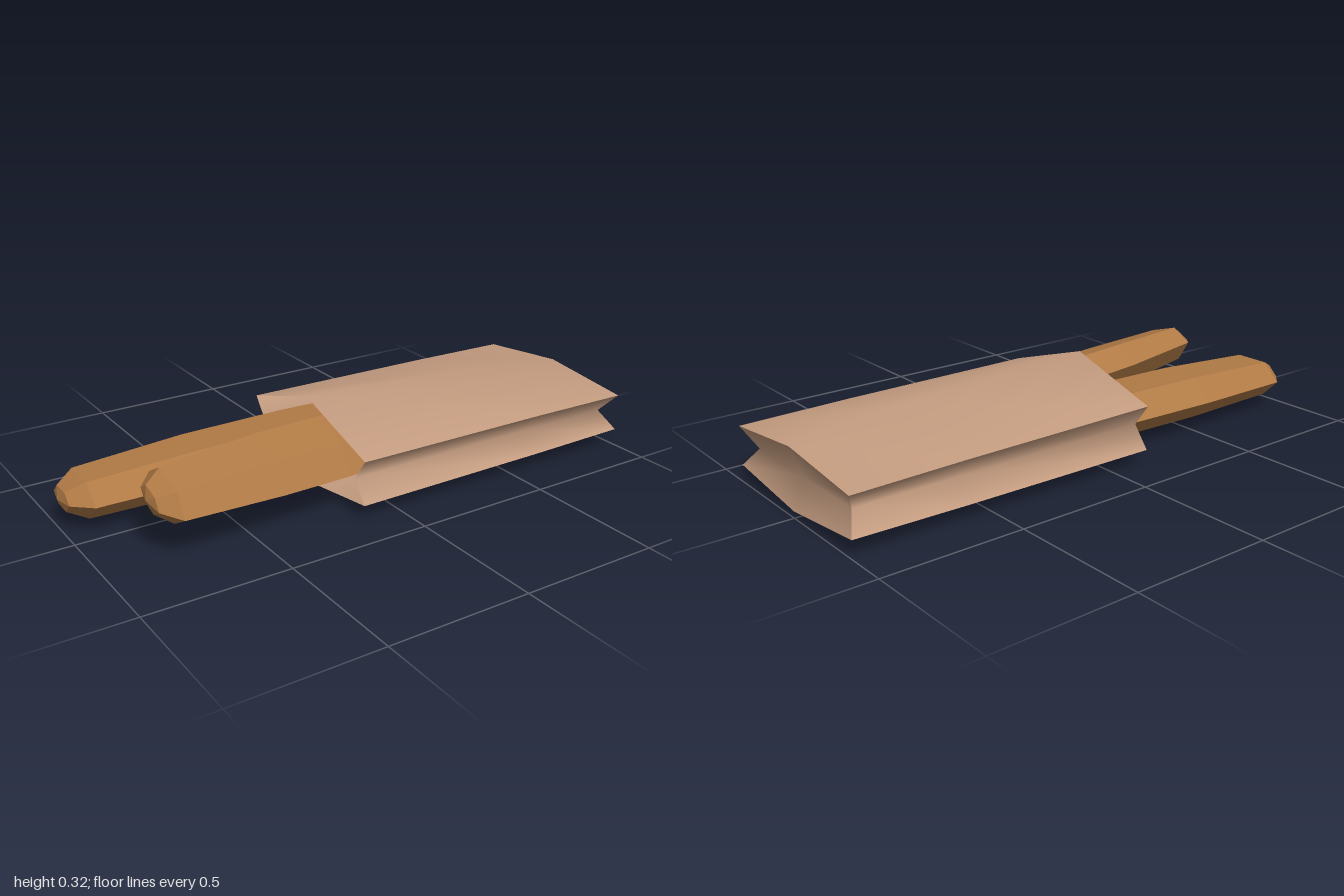
import * as THREE from 'three';

// Surface through rows of [x, y, z] points; front is rowDirection x columnDirection
function gridSurface(rows) {
  const cols = rows[0].length;
  const index = [];
  for (let i = 0; i < rows.length - 1; i++) {
    for (let j = 0; j < cols - 1; j++) {
      const a = i * cols + j, b = a + cols;
      index.push(a, b, a + 1, b, b + 1, a + 1);
    }
  }
  const geo = new THREE.BufferGeometry();
  geo.setAttribute('position', new THREE.Float32BufferAttribute(rows.flat(2), 3));
  geo.setIndex(index);
  geo.computeVertexNormals();
  return geo;
}

// Six-sided stick: stations [x, centreY, centreZ, scale] run from the inner end to the tip
function stickGeometry(halfSection, stations) {
  const section = [...halfSection, ...halfSection.map(([z, y]) => [-z, -y])];
  section.push(section[0]);
  return gridSurface(stations.map(([x, cy, cz, s]) =>
    section.map(([z, y]) => [x, cy + y * s, cz + z * s])));
}

export function createModel() {
  const model = new THREE.Group();
  const wrapperMat = new THREE.MeshStandardMaterial({ color: 0xc49c80, side: THREE.DoubleSide });
  const stickMat = new THREE.MeshStandardMaterial({ color: 0xb07a45, flatShading: true });

  const add = (name, geo, mat) => {
    const mesh = new THREE.Mesh(geo, mat);
    mesh.name = name;
    model.add(mesh);
  };

  // Wrapper sleeve: sections [x, foldX, keelY, lowY, highY, ridgeY]
  const W = 0.357, FOLD = 0.297, MID = 0.13;
  const sections = [
    [-0.14, -0.14, 0.002, 0.053, 0.21, 0.321],
    [0.6, 0.6, 0.012, 0.058, 0.206, 0.285],
    [1, 0.962, 0.025, 0.064, 0.2, 0.238],
  ];
  const loops = sections.map(([x, fx, keel, low, high, ridge]) => [
    [x, low, W], [fx, MID, FOLD], [x, high, W], [x, ridge, 0],
    [x, high, -W], [fx, MID, -FOLD], [x, low, -W], [x, keel, 0], [x, low, W],
  ]);
  ['wrapperFrontFold', 'wrapperTop', 'wrapperBackFold', 'wrapperBottom'].forEach((name, k) => {
    add(name, gridSurface(loops.map((loop) => loop.slice(2 * k, 2 * k + 3))), wrapperMat);
  });

  // Closed end, tucked inward like the side folds
  const [, foldX, keel, low, high, ridge] = sections[2];
  add('wrapperEnd', gridSurface([
    [[1, low, -W], [1, keel, 0], [1, low, W]],
    [[foldX, MID, -FOLD], [foldX, MID, 0], [foldX, MID, FOLD]],
    [[1, high, -W], [1, ridge, 0], [1, high, W]],
  ]), wrapperMat);

  // Two sticks, the front one rolled and angled
  add('backStick', stickGeometry([[-0.155, 0], [-0.077, 0.076], [0.077, 0.076]], [
    [0.62, 0.13, -0.12, 0],
    [0.6, 0.13, -0.12, 0.5],
    [0.52, 0.13, -0.12, 0.85],
    [-0.14, 0.126, -0.124, 1],
    [-0.52, 0.12, -0.128, 1],
    [-0.92, 0.11, -0.13, 0.85],
    [-0.985, 0.108, -0.13, 0.45],
    [-1, 0.108, -0.13, 0],
  ]), stickMat);
  add('frontStick', stickGeometry([[-0.155, 0.043], [-0.055, 0.098], [0.095, 0.053]], [
    [0.62, 0.14, 0.04, 0],
    [0.6, 0.14, 0.04, 0.45],
    [0.52, 0.142, 0.05, 0.8],
    [-0.14, 0.172, 0.12, 1],
    [-0.4, 0.179, 0.143, 0.98],
    [-0.76, 0.19, 0.19, 0.8],
    [-0.818, 0.192, 0.193, 0.42],
    [-0.832, 0.192, 0.194, 0],
  ]), stickMat);

  return model;
}
